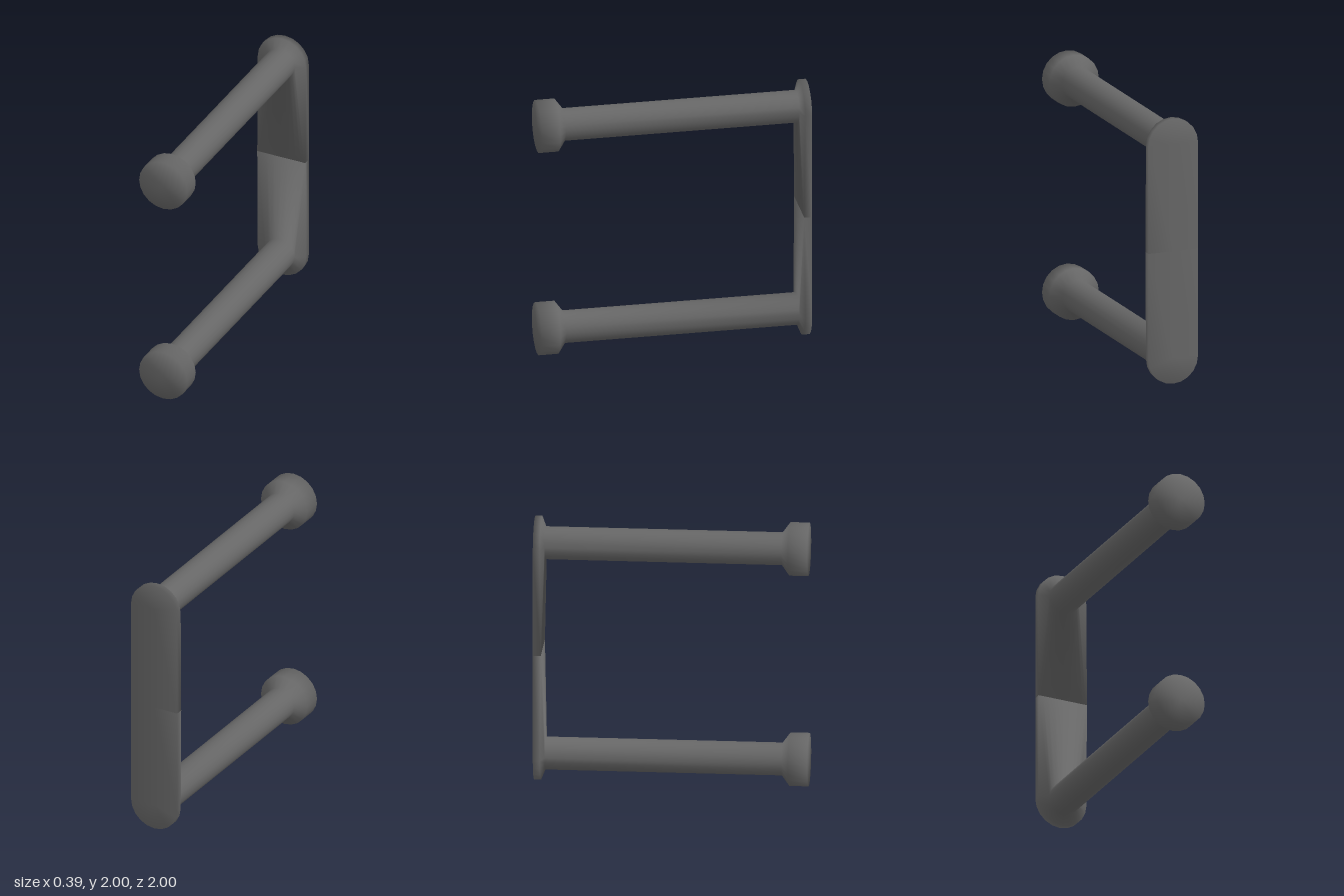
import * as THREE from 'three';
import { mergeVertices } from 'three/addons/utils/BufferGeometryUtils.js';

const STEPS = 10;               // segments per half circle
const COUNT = 2 * (STEPS + 1);  // stations around each cross-section
const AXIS = 0.805;             // arm axis above the middle of the link
const R = 0.195, BAR = 0.12;

// Round section of the arm
function circle(radius, z) {
  return Array.from({ length: COUNT }, (_, i) => {
    const a = (i > STEPS ? i - 1 : i) * Math.PI / STEPS;
    return [radius * Math.cos(a), AXIS + radius * Math.sin(a), z];
  });
}

// Half-stadium section of the back plate, closed by a straight line at the middle
function arch(width, zEnd, zMiddle) {
  return circle(width, zEnd).map(([x, y, z], i) => (i > STEPS ? [x, 0, zMiddle] : [x, y, z]));
}

// Skin from head to back plate, lofted through the sections
function halfLink() {
  const spine = Array.from({ length: COUNT }, (_, i) => [0, i > STEPS ? 0 : AXIS, -1]);
  const rings = [
    circle(0, 1), circle(R, 1), circle(R, 0.86), circle(BAR, 0.805), // head
    circle(BAR, -0.92),                                              // bar
    arch(R, -0.95, -0.942), arch(R, -1, -1), spine,                  // back plate
  ];
  const index = [];
  for (let r = 0; r < rings.length - 1; r++) {
    for (let i = 0; i < COUNT; i++) {
      if (r === 5 && i > STEPS && i < COUNT - 1) continue; // open where the halves meet
      const j = (i + 1) % COUNT;
      const a = r * COUNT + i, b = r * COUNT + j, c = a + COUNT, d = b + COUNT;
      index.push(a, c, b, b, c, d);
    }
  }
  let geometry = new THREE.BufferGeometry();
  geometry.setAttribute('position', new THREE.Float32BufferAttribute(rings.flat(2), 3));
  geometry.setIndex(index);
  geometry = mergeVertices(geometry, 1e-4);
  geometry.computeVertexNormals();

  // Soft rounded normals along the inner crease at the middle
  const p = geometry.attributes.position, n = geometry.attributes.normal;
  for (let i = 0; i < p.count; i++) {
    if (Math.abs(p.getY(i)) < 1e-3 && p.getZ(i) > -0.96) {
      const v = new THREE.Vector3(0.8 * p.getX(i) / R, -1, 1).normalize();
      n.setXYZ(i, v.x, v.y, v.z);
    }
  }
  return geometry;
}

export function createModel() {
  const group = new THREE.Group();
  group.name = 'cuffLink';
  const metal = new THREE.MeshStandardMaterial({ color: 0x666666 });
  metal.name = 'darkGrey';
  const geometry = halfLink();
  ['upperArm', 'lowerArm'].forEach((name, i) => {
    const arm = new THREE.Mesh(geometry, metal);
    arm.name = name;
    arm.position.y = 1;
    arm.rotation.z = i * Math.PI;
    group.add(arm);
  });
  return group;
}
